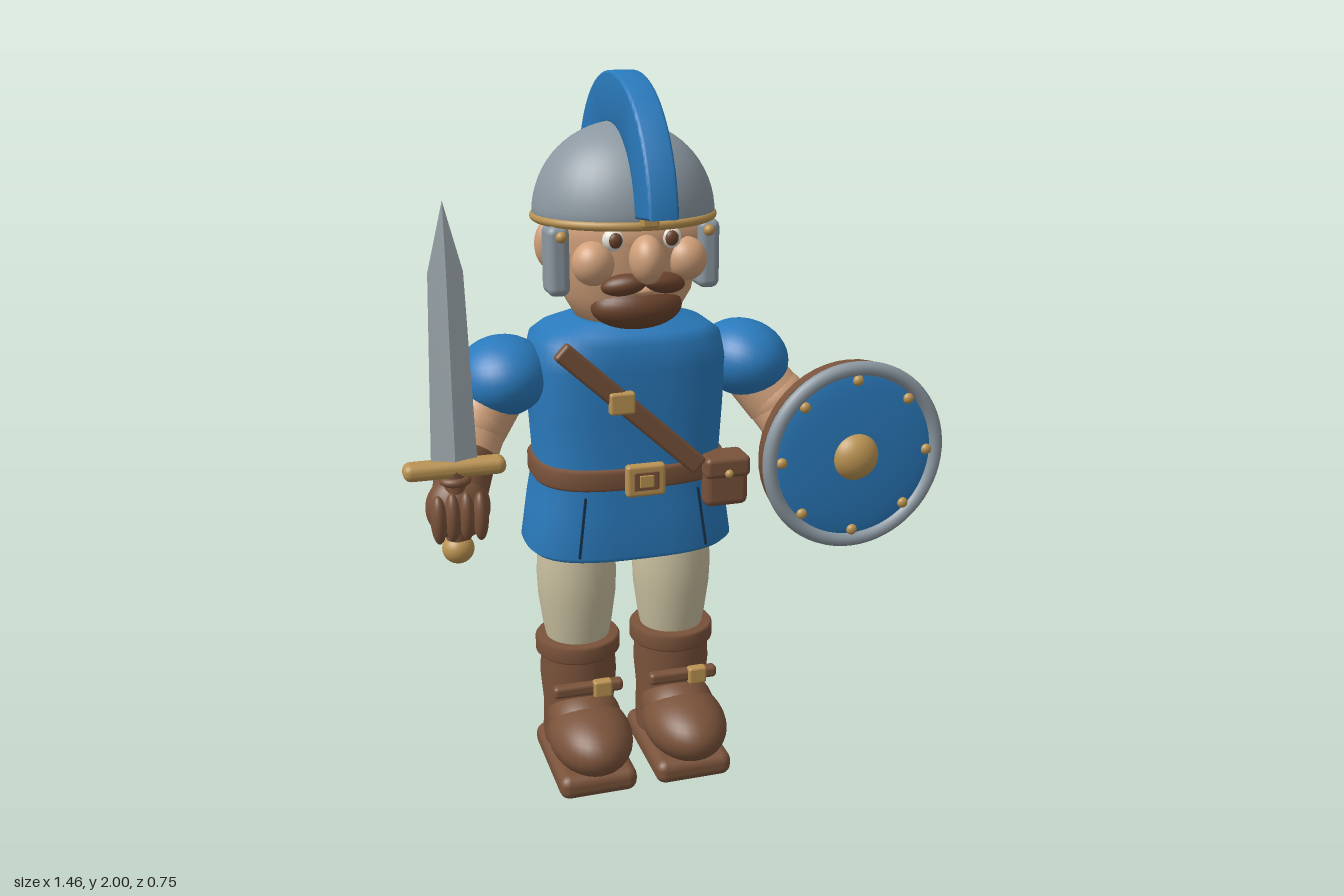
import * as THREE from 'three';
import { toCreasedNormals } from 'three/addons/utils/BufferGeometryUtils.js';
import { RoundedBoxGeometry } from 'three/addons/geometries/RoundedBoxGeometry.js';

const mat = (name, color) => Object.assign(new THREE.MeshStandardMaterial({ color }), { name });

export function createModel() {
  const blue = mat('blue cloth', 0x2a7abc), leather = mat('brown leather', 0x79523a);
  const skin = mat('skin', 0xd0a07a), cream = mat('cream trousers', 0xc9bf9f);
  const steel = mat('steel', 0x8c98a1), bladeSteel = mat('blade steel', 0xa6b1b6);
  const gold = mat('brass', 0xba9352), dark = mat('dark seam', 0x15324a);
  const hair = mat('brown hair', 0x6b432c), white = mat('eye white', 0xe8e4da);

  const model = new THREE.Group();
  const body = new THREE.Group();
  body.name = 'soldier';
  body.position.x = -0.087;
  model.add(body);

  const add = (name, geo, m, x = 0, y = 0, z = 0, parent = body) => {
    const mesh = new THREE.Mesh(geo, m);
    mesh.name = name;
    mesh.position.set(x, y, z);
    parent.add(mesh);
    return mesh;
  };
  const ball = (name, m, x, y, z, rx, ry = rx, rz = rx, parent = body) =>
    add(name, new THREE.SphereGeometry(1, 32, 20).scale(rx, ry, rz), m, x, y, z, parent);
  const box = (name, m, x, y, z, w, h, d, r = 0.01, parent = body) =>
    add(name, new RoundedBoxGeometry(w, h, d, 3, r), m, x, y, z, parent);
  const lathe = (pts, sz = 1) =>
    new THREE.LatheGeometry(pts.map(p => new THREE.Vector2(...p)), 40).scale(1, 1, sz);
  const disc = (r, depth) =>
    toCreasedNormals(new THREE.CylinderGeometry(r, r, depth, 48).rotateX(Math.PI / 2), 0.7);

  // Soft-cornered cross-sections [y, half width, half depth] joined from bottom to top
  function loft(rings, n = 48, power = 0.7) {
    const pos = [], index = [];
    const soft = v => Math.sign(v) * Math.abs(v) ** power;
    for (const [y, hx, hz] of rings)
      for (let j = 0; j < n; j++) {
        const a = (j / n) * Math.PI * 2;
        pos.push(soft(Math.cos(a)) * hx, y, soft(Math.sin(a)) * hz);
      }
    for (let i = 0; i < rings.length - 1; i++)
      for (let j = 0; j < n; j++) {
        const a = i * n + j, b = i * n + (j + 1) % n;
        index.push(a, a + n, b + n, a, b + n, b);
      }
    const g = new THREE.BufferGeometry();
    g.setAttribute('position', new THREE.Float32BufferAttribute(pos, 3));
    g.setIndex(index);
    g.computeVertexNormals();
    return g;
  }

  // Tunic and belt
  add('tunic', loft([[0.715, 0, 0], [0.705, 0.28, 0.185], [0.705, 0.28, 0.185], [0.72, 0.296, 0.197],
    [0.85, 0.277, 0.19], [0.95, 0.258, 0.184], [1.1, 0.268, 0.187], [1.24, 0.275, 0.19],
    [1.31, 0.258, 0.187], [1.335, 0.225, 0.165], [1.36, 0.14, 0.13], [1.36, 0.14, 0.13], [1.365, 0, 0]]),
    blue, 0, 0, -0.007);
  add('belt', loft([[0.91, 0.24, 0.17], [0.913, 0.265, 0.19], [0.922, 0.272, 0.196], [0.963, 0.272, 0.196],
    [0.972, 0.265, 0.19], [0.975, 0.24, 0.17]]), leather, 0, 0, -0.007);
  box('buckle', gold, 0, 0.943, 0.195, 0.11, 0.09, 0.03);
  box('buckleInset', leather, 0, 0.943, 0.208, 0.07, 0.052, 0.008, 0.003);
  box('bucklePin', gold, 0, 0.943, 0.211, 0.04, 0.035, 0.008, 0.003);
  for (const s of [-1, 1]) {
    const seam = add('tunicSeam', new THREE.BoxGeometry(0.006, 0.17, 0.008), dark, s * 0.17, 0.81, 0.172);
    seam.rotation.set(-0.06, 0, s * 0.13);
  }

  // Shoulder strap across the chest
  const strap = box('chestStrap', leather, -0.035, 1.14, 0.188, 0.52, 0.055, 0.03);
  strap.rotation.z = -0.745;
  box('strapStud', gold, -0.065, 1.165, 0.2, 0.07, 0.06, 0.03, 0.008);

  // Belt pouch
  box('pouch', leather, 0.235, 0.905, 0.155, 0.125, 0.13, 0.09, 0.02);
  box('pouchFlap', leather, 0.235, 0.955, 0.16, 0.13, 0.06, 0.1, 0.015);
  ball('pouchButton', gold, 0.235, 0.94, 0.21, 0.012);

  // Head and face
  add('head', lathe([[0, 1.33], [0.08, 1.335], [0.14, 1.365], [0.178, 1.43], [0.195, 1.51],
    [0.2, 1.58], [0.2, 1.65], [0, 1.68]], 0.91), skin, 0, 0, 0.01);
  ball('nose', skin, 0, 1.545, 0.215, 0.045, 0.063, 0.058);
  ball('beard', hair, 0, 1.405, 0.115, 0.124, 0.062, 0.078);
  ball('lowerLip', skin, 0, 1.457, 0.183, 0.035, 0.012, 0.015);
  for (const s of [-1, 1]) {
    ball('cheek', skin, s * 0.125, 1.53, 0.15, 0.056, 0.058, 0.056);
    ball('ear', skin, s * 0.205, 1.56, 0.005, 0.042, 0.066, 0.036);
    ball('eye', white, s * 0.075, 1.592, 0.17, 0.03, 0.03, 0.024);
    ball('pupil', hair, s * 0.075, 1.592, 0.187, 0.018, 0.02, 0.012);
    const whisker = ball('moustache', hair, s * 0.055, 1.478, 0.19, 0.06, 0.028, 0.034);
    whisker.rotation.set(0, s * 0.3, -s * 0.15);
    box('cheekGuard', steel, s * 0.205, 1.53, 0.07, 0.06, 0.185, 0.095, 0.022);
    ball('guardRivet', gold, s * 0.2, 1.595, 0.118, 0.015);
  }

  // Helmet with crest
  add('helmetDome', lathe([[0, 1.63], [0.24, 1.63], ...Array.from({ length: 17 }, (_, i) => {
    const a = (i / 16) * Math.PI / 2;
    return [Math.cos(a) * 0.246, 1.635 + Math.sin(a) * 0.24];
  })], 0.92), steel, 0, 0, -0.008);
  add('helmetBrim', new THREE.TorusGeometry(0.24, 0.012, 10, 48).rotateX(Math.PI / 2).scale(1, 1, 0.93),
    gold, 0, 1.63, -0.008);
  add('crestHolder', new THREE.TorusGeometry(0.24, 0.018, 10, 40, Math.PI).rotateY(Math.PI / 2),
    gold, 0, 1.635, -0.005);
  for (const z of [0.24, -0.25]) box('holderFoot', gold, 0, 1.645, z, 0.045, 0.03, 0.03, 0.008);
  const arch = new THREE.Shape();
  const a0 = 0.115;
  arch.absarc(0, 0, 0.36, a0, Math.PI - a0, false);
  arch.absarc(0, 0, 0.243, Math.PI - a0, a0, true);
  arch.closePath();
  const crest = new THREE.ExtrudeGeometry(arch, { depth: 0.06, curveSegments: 48, bevelThickness: 0.009,
    bevelSize: 0.008, bevelSegments: 3 }).translate(0, 0, -0.03).rotateY(Math.PI / 2);
  add('crest', toCreasedNormals(crest, 0.6), blue, 0, 1.633, 0);
  for (let i = 0; i < 23; i++) {
    const a = 0.17 + (i / 22) * (Math.PI - 0.34);
    const groove = add('crestGroove', new THREE.BoxGeometry(0.004, 0.06, 0.006), dark,
      0.039, 1.633 + Math.sin(a) * 0.325, Math.cos(a) * 0.325);
    groove.rotation.x = Math.PI / 2 - a;
  }

  // Arms and gauntlets
  for (const s of [-1, 1]) {
    const arm = new THREE.Group();
    arm.name = s > 0 ? 'leftArm' : 'rightArm';
    body.add(arm);
    const limb = (name, m, from, to, r0, r1) => {
      const p = new THREE.Vector3(...from), q = new THREE.Vector3(...to);
      p.x *= s; q.x *= s;
      const mesh = add(name, new THREE.CylinderGeometry(r1, r0, p.distanceTo(q), 28), m, 0, 0, 0, arm);
      mesh.position.copy(p).lerp(q, 0.5);
      mesh.quaternion.setFromUnitVectors(new THREE.Vector3(0, 1, 0), q.sub(p).normalize());
    };
    const sleeve = ball('sleeve', blue, s * 0.345, 1.21, 0, 0.128, 0.108, 0.148, arm);
    sleeve.rotation.z = -s * 0.2;
    limb('upperArm', skin, [0.36, 1.18, 0.01], [0.43, 1.09, 0.045], 0.085, 0.088);
    ball('elbow', skin, s * 0.43, 1.095, 0.045, 0.09, 0.085, 0.09, arm);
    limb('forearm', skin, [0.43, 1.09, 0.045], [0.46, 1.03, 0.09], 0.086, 0.08);
    ball('gauntletCuff', leather, s * 0.462, 1.025, 0.085, 0.084, 0.08, 0.088, arm);
    limb('gauntlet', leather, [0.462, 1.025, 0.085], [0.5, 0.93, 0.165], 0.08, 0.072);
    ball('fist', leather, s * 0.505, 0.915, 0.18, 0.085, 0.088, 0.07, arm);
    for (let i = 0; i < 4; i++) {
      const o = (i - 1.5) * 0.036;
      ball('finger', leather, s * 0.51 + o, 0.91 - Math.abs(o) * 0.1, 0.235, 0.021, 0.066, 0.03, arm);
    }
  }

  // Sword
  const sword = new THREE.Group();
  sword.name = 'sword';
  sword.position.set(-0.513, 0, 0.205);
  body.add(sword);
  const bladeGeo = loft([[1.04, 0.06, 0.018], [1.54, 0.044, 0.015], [1.715, 0, 0]], 4, 1);
  add('blade', toCreasedNormals(bladeGeo, 0.1), bladeSteel, 0, 0, 0, sword);
  box('crossGuard', gold, 0, 1.032, 0, 0.265, 0.046, 0.06, 0.021, sword);
  add('grip', new THREE.CylinderGeometry(0.03, 0.03, 0.22, 20), leather, 0, 0.92, 0, sword);
  add('gripRing', new THREE.TorusGeometry(0.03, 0.012, 10, 24).rotateX(Math.PI / 2), leather, 0, 1.0, 0, sword);
  ball('pommel', gold, 0, 0.81, 0, 0.042, 0.04, 0.042, sword);

  // Round shield
  const shield = new THREE.Group();
  shield.name = 'shield';
  shield.position.set(0.55, 1, 0);
  body.add(shield);
  add('shieldBack', disc(0.253, 0.032), leather, 0, 0, 0.281, shield);
  add('shieldFace', disc(0.245, 0.03), blue, 0, 0, 0.311, shield);
  ball('shieldBulge', blue, 0, 0, 0.322, 0.235, 0.235, 0.02, shield);
  add('shieldRim', new THREE.TorusGeometry(0.243, 0.02, 12, 64), steel, 0, 0, 0.324, shield);
  ball('shieldBoss', gold, 0, 0, 0.325, 0.068, 0.068, 0.055, shield);
  for (let i = 0; i < 8; i++) {
    const a = (i * Math.PI) / 4;
    ball('shieldRivet', gold, Math.cos(a) * 0.212, Math.sin(a) * 0.212, 0.333, 0.015, 0.015, 0.012, shield);
  }

  // Legs and boots
  for (const s of [-1, 1]) {
    const leg = new THREE.Group();
    leg.name = s > 0 ? 'leftLeg' : 'rightLeg';
    leg.position.set(s * 0.143, 0, -0.027);
    body.add(leg);
    add('trouserLeg', lathe([[0.086, 0.38], [0.1, 0.45], [0.112, 0.54], [0.115, 0.61], [0.11, 0.68],
      [0.1, 0.76]]), cream, 0, 0, 0, leg);
    add('bootShaft', lathe([[0.1, 0.04], [0.107, 0.1], [0.104, 0.2], [0.112, 0.29], [0.107, 0.38]]),
      leather, 0, 0, 0, leg);
    add('bootCuff', lathe([[0.08, 0.357], [0.117, 0.357], [0.123, 0.364], [0.123, 0.402], [0.117, 0.41],
      [0.08, 0.41]]), leather, 0, 0, 0, leg);
    ball('bootToe', leather, 0, 0.14, 0.135, 0.12, 0.095, 0.172, leg);
    ball('bootInstep', leather, 0, 0.16, 0.07, 0.108, 0.095, 0.13, leg);
    box('bootSole', leather, 0, 0.036, 0.072, 0.228, 0.072, 0.36, 0.03, leg);
    box('bootStrap', leather, 0, 0.283, 0.118, 0.205, 0.036, 0.034, 0.012, leg);
    box('bootBuckle', gold, 0.04, 0.283, 0.13, 0.055, 0.052, 0.03, 0.008, leg);
  }
  return model;
}
